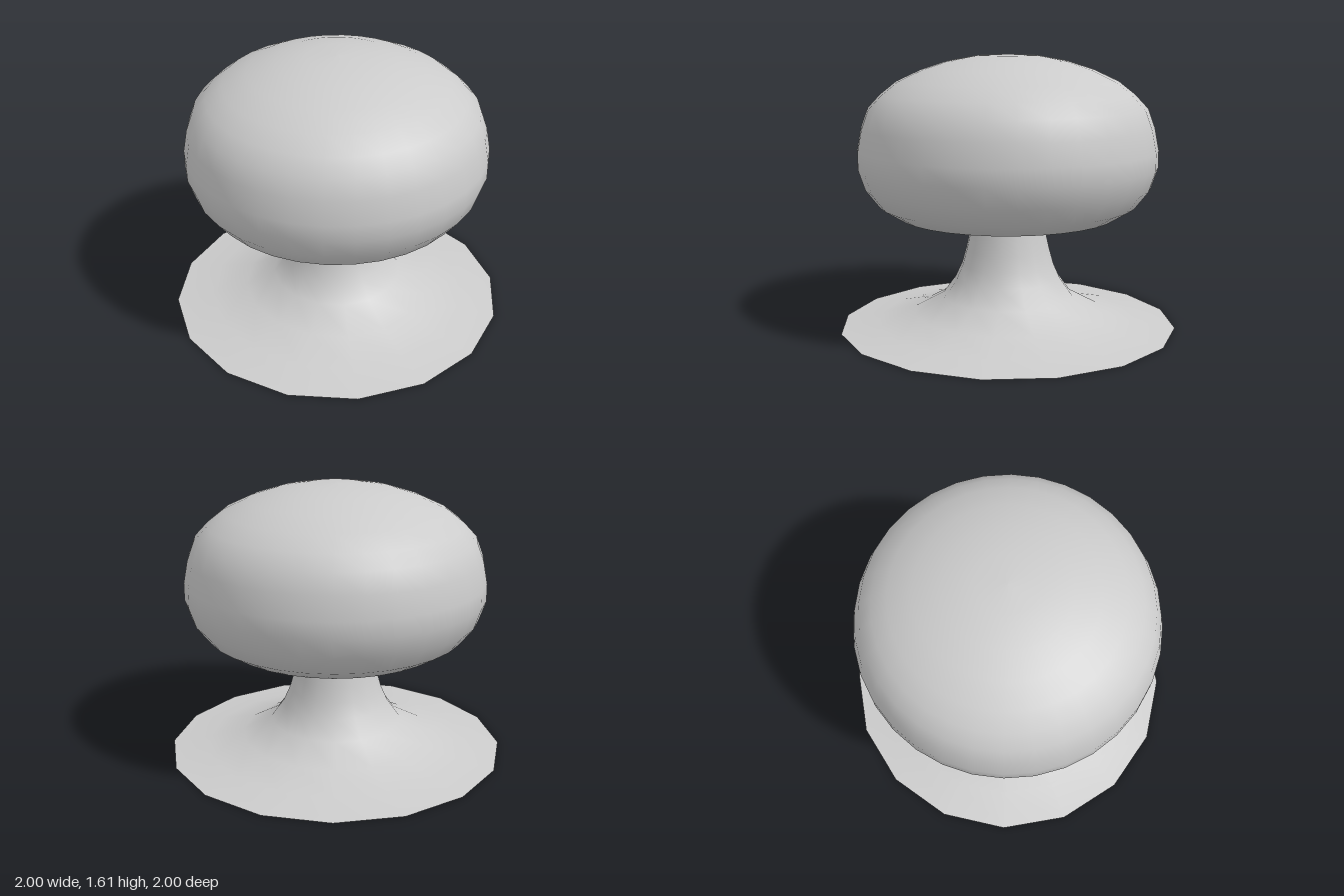
import * as THREE from 'three';

// Turn a profile of [radius, height] pairs, listed bottom to top, into a named solid.
function turned(name, profile, sides, side) {
  const points = profile.map(([r, y]) => new THREE.Vector2(r, y));
  const material = new THREE.MeshStandardMaterial({ color: 0xcccccc, side });
  const mesh = new THREE.Mesh(new THREE.LatheGeometry(points, sides), material);
  mesh.name = name;
  return mesh;
}

export function createModel() {
  const model = new THREE.Group();
  model.name = 'mushroom';

  // Hollow stem flaring out into a thin, open skirt
  model.add(turned('stem', [
    [1, 0], [0.78, 0.027], [0.565, 0.08], [0.39, 0.175], [0.315, 0.28],
    [0.275, 0.37], [0.25, 0.46], [0.225, 0.57], [0.21, 0.665], [0.2, 0.78], [0.19, 0.92],
  ], 16, THREE.DoubleSide));

  // Rounded cap with a dimple underneath that takes the stem
  model.add(turned('cap', [
    [0, 0.9], [0.17, 0.87], [0.29, 0.78], [0.39, 0.705], [0.51, 0.667],
    [0.645, 0.667], [0.76, 0.737], [0.84, 0.84], [0.88, 0.96], [0.88, 1.06],
    [0.855, 1.19], [0.815, 1.3], [0.74, 1.38], [0.645, 1.455], [0.505, 1.52],
    [0.35, 1.57], [0.175, 1.602], [0, 1.608],
  ], 32, THREE.FrontSide));

  return model;
}
